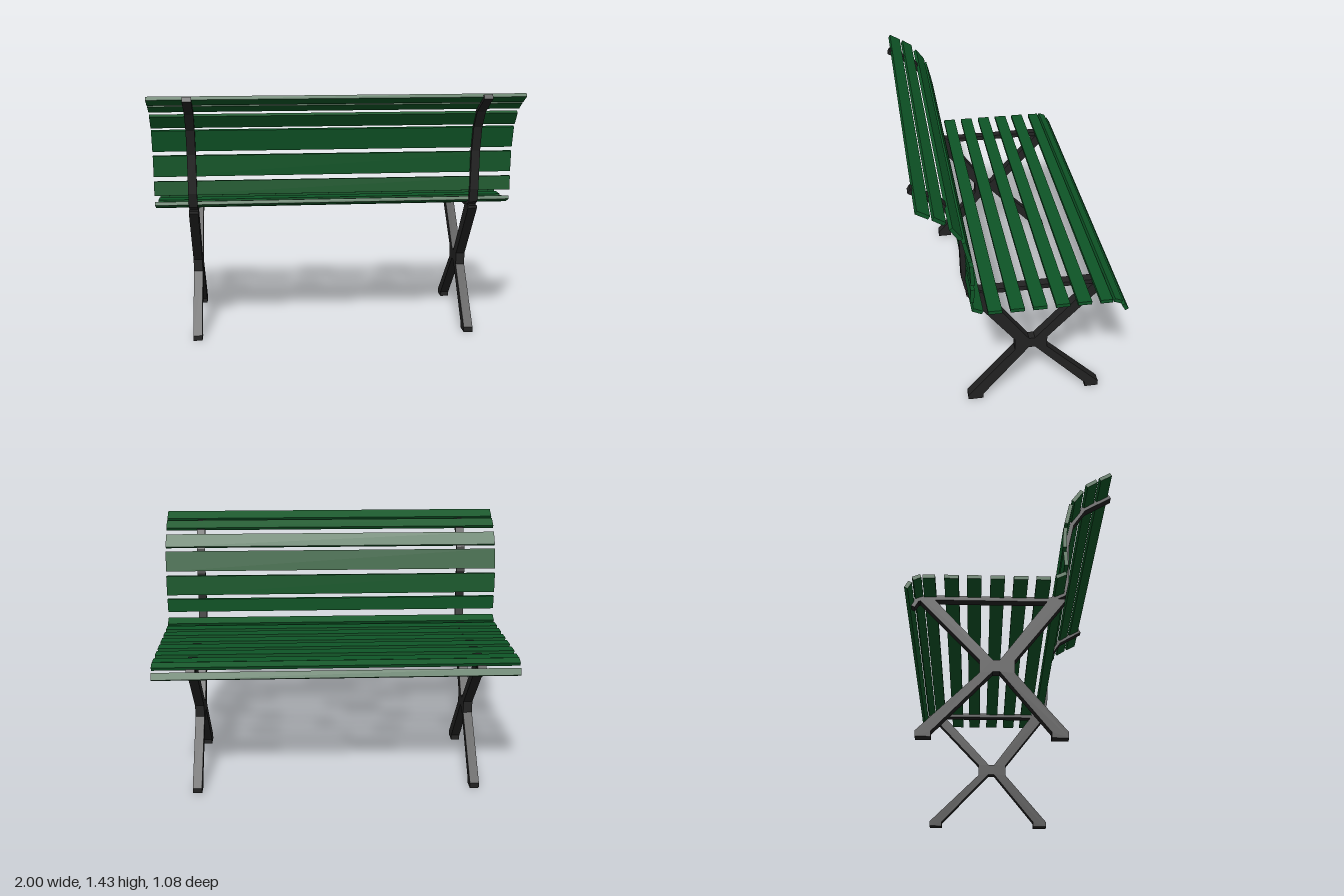
import * as THREE from 'three';

const FRAME_WIDTH = 0.052;

// Extrudes a (z, y) outline sideways, centred on x
function extrudeSide(points, width) {
  const shape = new THREE.Shape(points.map(([z, y]) => new THREE.Vector2(z, y)));
  const geo = new THREE.ExtrudeGeometry(shape, { depth: width, bevelEnabled: false });
  geo.translate(0, 0, -width / 2);
  return geo.rotateY(-Math.PI / 2);
}

// Turns a centre line into a closed strip outline with mitred corners
function stripOutline(line, thickness) {
  const p = line.map(([z, y]) => new THREE.Vector2(z, y));
  const a = [], b = [];
  p.forEach((pt, i) => {
    const d0 = p[Math.max(i, 1)].clone().sub(p[Math.max(i, 1) - 1]).normalize();
    const j = Math.min(i + 1, p.length - 1);
    const d1 = p[j].clone().sub(p[j - 1]).normalize();
    const n0 = new THREE.Vector2(-d0.y, d0.x), n1 = new THREE.Vector2(-d1.y, d1.x);
    const n = n0.clone().add(n1).normalize();
    const h = thickness / 2 / n.dot(n0);
    a.push([pt.x + n.x * h, pt.y + n.y * h]);
    b.unshift([pt.x - n.x * h, pt.y - n.y * h]);
  });
  return a.concat(b);
}

export function createModel() {
  const bench = new THREE.Group();
  bench.name = 'parkBench';
  const green = new THREE.MeshStandardMaterial({ color: 0x0e5526 });
  green.name = 'greenPaint';
  const iron = new THREE.MeshStandardMaterial({ color: 0x222222 });
  iron.name = 'blackIron';

  // Crossed leg outline with flat feet and a chunky joint, as (z, y)
  const legOutline = [
    [0.27, 0], [0.27, 0.03], [0.011, 0.34], [0.011, 0.41], [0.27, 0.75], [0.27, 0.765], [0.19, 0.765],
    [-0.065, 0.41], [-0.098, 0.41], [-0.4, 0.75], [-0.4, 0.765], [-0.48, 0.765], [-0.475, 0.745],
    [-0.166, 0.41], [-0.166, 0.34], [-0.472, 0.03], [-0.472, 0], [-0.396, 0], [-0.396, 0.028],
    [-0.1, 0.347], [-0.065, 0.347], [0.187, 0.03], [0.187, 0],
  ];
  // Bent strap carrying the backrest and seat
  const strapLine = [
    [0.532, 1.416], [0.385, 1.328], [0.318, 1.23], [0.287, 1.09], [0.281, 0.87],
    [0.265, 0.798], [0.2, 0.762], [-0.465, 0.762], [-0.492, 0.75], [-0.513, 0.712],
  ];
  const legGeo = extrudeSide(legOutline, FRAME_WIDTH);
  const strapGeo = extrudeSide(stripOutline(strapLine, 0.026), FRAME_WIDTH - 0.004);
  for (const side of [1, -1]) {
    const frame = new THREE.Group();
    frame.name = side > 0 ? 'leftFrame' : 'rightFrame';
    const legs = new THREE.Mesh(legGeo, iron);
    legs.name = 'crossedLegs';
    const strap = new THREE.Mesh(strapGeo, iron);
    strap.name = 'supportStrap';
    frame.add(legs, strap);
    frame.position.x = side * 0.79;
    bench.add(frame);
  }

  // Slats, each from (z, y) to (z, y) along the middle of its section
  const slats = {
    backSlat: [
      [0.515, 1.421, 0.455, 1.386], [0.438, 1.378, 0.383, 1.342], [0.358, 1.312, 0.31, 1.245],
      [0.298, 1.224, 0.27, 1.107], [0.264, 1.08, 0.259, 0.963], [0.26, 0.936, 0.265, 0.857],
    ],
    seatSlat: [
      [0.262, 0.81, 0.212, 0.786],
      ...[0.185, 0.071, -0.045, -0.162, -0.275].map((z) => [z, 0.778, z - 0.072, 0.778]),
      [-0.392, 0.777, -0.455, 0.776], [-0.463, 0.78, -0.503, 0.763], [-0.514, 0.745, -0.534, 0.71],
    ],
  };
  for (const [name, list] of Object.entries(slats)) {
    list.forEach(([z1, y1, z2, y2], i) => {
      const length = Math.hypot(z2 - z1, y2 - y1);
      const slat = new THREE.Mesh(new THREE.BoxGeometry(2, 0.02, length), green);
      slat.name = name + (i + 1);
      slat.position.set(0, (y1 + y2) / 2, (z1 + z2) / 2);
      slat.rotation.x = -Math.atan2(y1 - y2, z1 - z2);
      bench.add(slat);
    });
  }
  return bench;
}
